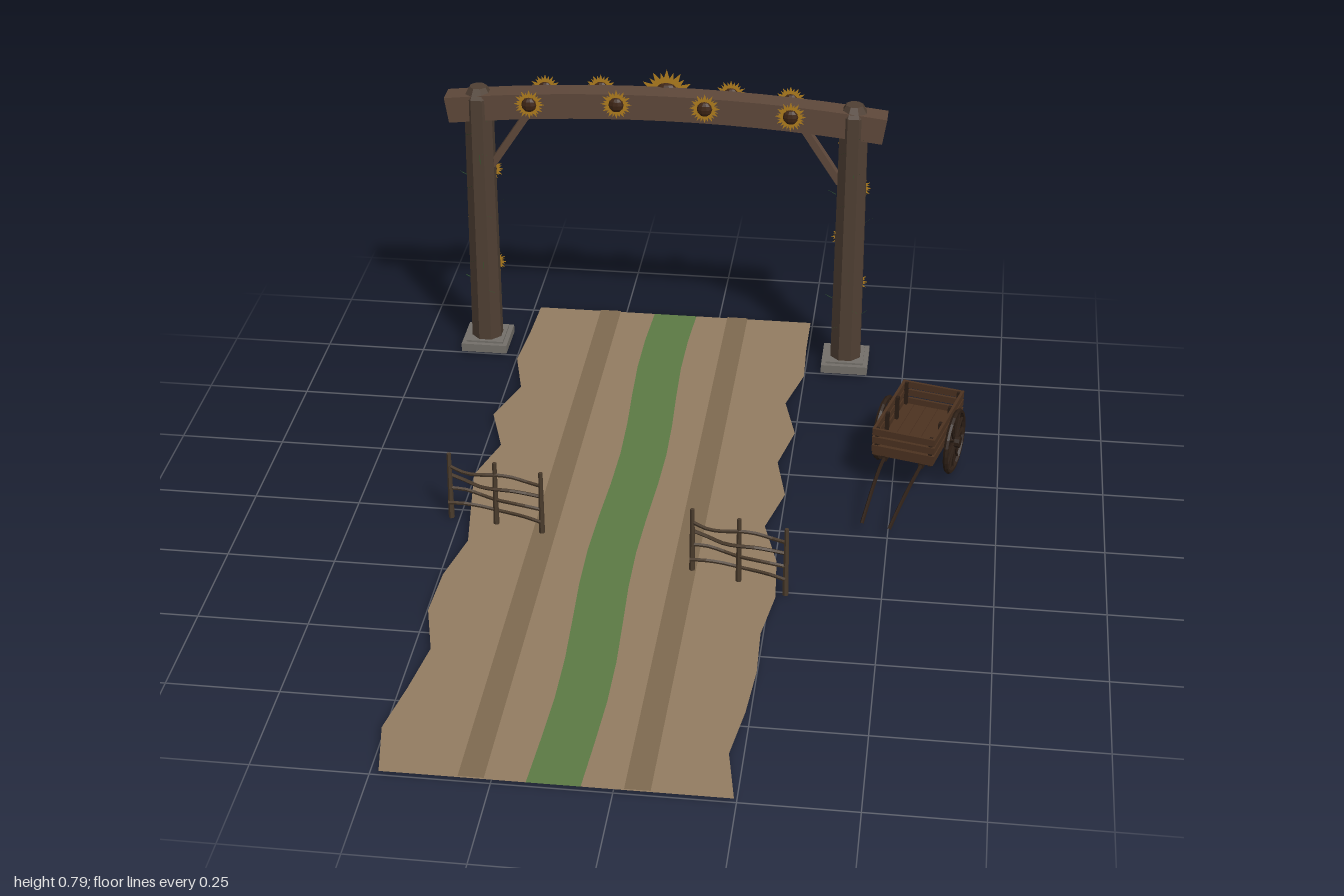
import * as THREE from 'three';

const mat = (color, side = THREE.FrontSide) =>
  new THREE.MeshStandardMaterial({ color, side, flatShading: true });
const M = {
  road: mat(0x937d62, THREE.DoubleSide), rut: mat(0x7f6a50, THREE.DoubleSide),
  grass: mat(0x5c7a45, THREE.DoubleSide), beam: mat(0x5e483a), post: mat(0x4f3f33),
  stone: mat(0x74706a), petal: mat(0xb07d1e, THREE.DoubleSide), seed: mat(0x3f2616),
  leaf: mat(0x35602f, THREE.DoubleSide), fence: mat(0x4a3b2c), cart: mat(0x4c3220), dark: mat(0x2c1e15),
};
const V = (x, y, z) => new THREE.Vector3(x, y, z);
const ROAD_Y = 0.01, MID = -0.118, ARCH_Z = -0.797;

function add(parent, name, geo, material, x = 0, y = 0, z = 0) {
  const m = new THREE.Mesh(geo, material);
  m.name = name;
  m.position.set(x, y, z);
  parent.add(m);
  return m;
}
function group(parent, name, x = 0, y = 0, z = 0) {
  const g = new THREE.Group();
  g.name = name;
  g.position.set(x, y, z);
  parent.add(g);
  return g;
}
const box = (parent, name, w, h, d, material, x, y, z) =>
  add(parent, name, new THREE.BoxGeometry(w, h, d), material, x, y, z);
const tube = (parent, name, pts, r, material, segs = 8, sides = 6) =>
  add(parent, name, new THREE.TubeGeometry(new THREE.CatmullRomCurve3(pts), segs, r, sides), material);

// Flat strip along z between two edges given row by row
function strip(parent, name, left, right, y, material) {
  const geo = new THREE.PlaneGeometry(1, 1, 1, 14);
  const p = geo.attributes.position;
  for (let i = 0; i < p.count; i++) {
    const row = Math.floor(i / 2);
    p.setXYZ(i, (i % 2 ? right : left)(row), y, -1 + row / 7);
  }
  geo.computeVertexNormals();
  add(parent, name, geo, material);
}

function buildRoad(root) {
  const road = group(root, 'road');
  const L = [-.48, -.485, -.495, -.46, -.505, -.46, -.5, -.48, -.46, -.49, -.495, -.46, -.48, -.505, -.48];
  const R = [.245, .245, .25, .215, .25, .22, .25, .215, .255, .265, .245, .25, .24, .22, .245];
  const sway = (i) => -0.115 - 0.008 * Math.sin(i * 0.95);
  const gl = (i) => sway(i) - 0.057, gr = (i) => sway(i) + 0.055;
  strip(road, 'leftTrack', (i) => L[i], gl, ROAD_Y, M.road);
  strip(road, 'rightTrack', gr, (i) => R[i], ROAD_Y, M.road);
  strip(road, 'grassStrip', gl, gr, ROAD_Y, M.grass);
  for (const x of [-0.29, 0.05])
    strip(road, 'wheelRut', () => x - 0.027, () => x + 0.027, ROAD_Y + 0.003, M.rut);
}

// Sunflower facing +z (dir 1) or -z (dir -1)
function flower(parent, x, y, z, r, dir) {
  const g = group(parent, 'sunflower', x, y, z);
  if (dir < 0) g.rotation.y = Math.PI;
  for (const [k, size] of [[0, 1], [1, 0.88]]) {
    const s = new THREE.Shape();
    for (let i = 0; i < 24; i++) {
      const a = (i + k) * Math.PI / 12, q = r * size * (i % 2 ? 0.55 : 1);
      s[i ? 'lineTo' : 'moveTo'](q * Math.sin(a), q * Math.cos(a));
    }
    add(g, 'petals', new THREE.ShapeGeometry(s), M.petal, 0, 0, 0.002 + k * 0.003);
  }
  const seed = add(g, 'seedHead', new THREE.SphereGeometry(r * 0.5, 10, 6), M.seed, 0, 0, 0.004);
  seed.scale.z = 0.6;
}

function leaf(parent, x, y, z, turn, tilt, size = 0.03) {
  const s = new THREE.Shape();
  s.moveTo(0, 0);
  s.quadraticCurveTo(size * 0.5, size * 0.35, size, 0);
  s.quadraticCurveTo(size * 0.5, -size * 0.35, 0, 0);
  const m = add(parent, 'leaf', new THREE.ShapeGeometry(s, 3), M.leaf, x, y, z);
  m.rotation.set(tilt, turn, 0);
}

function buildArch(root) {
  const arch = group(root, 'archway', MID, 0, ARCH_Z);
  const rise = (x) => 0.678 + 0.034 * (1 - (x / 0.545) ** 2);

  // Bowed crossbeam
  const geo = new THREE.BoxGeometry(1.09, 0.066, 0.058, 14, 1, 1);
  const p = geo.attributes.position;
  for (let i = 0; i < p.count; i++) {
    const x = p.getX(i), y = p.getY(i);
    p.setXY(i, x + y * 0.16 * x / 0.545, y + rise(x));
  }
  add(arch, 'crossbeam', geo, M.beam);

  for (const s of [-1, 1]) {
    const post = group(arch, 'gatePost', s * 0.468);
    box(post, 'plinth', 0.118, 0.022, 0.118, M.stone, 0, 0.021, 0);
    box(post, 'plinthStep', 0.095, 0.006, 0.095, M.stone, 0, 0.034, 0);
    const shaft = new THREE.CylinderGeometry(0.037, 0.041, 0.68, 8).rotateY(Math.PI / 8);
    add(post, 'shaft', shaft, M.post, 0, 0.37, 0);
    const cap = new THREE.CylinderGeometry(0.022, 0.037, 0.026, 8).rotateY(Math.PI / 8);
    add(post, 'cap', cap, M.post, 0, 0.723, 0);

    // Diagonal brace
    const brace = box(arch, 'brace', 0.018, 0.165, 0.026, M.beam, s * 0.393, 0.595, 0);
    brace.rotation.z = s * 0.58;

    // Vine with leaves, and flowers on the back
    const vine = [];
    for (let i = 0; i <= 16; i++) {
      const a = i * 0.5;
      vine.push(V(0.014 * Math.sin(a), 0.05 + i * 0.039, -0.041));
    }
    tube(post, 'vine', vine, 0.003, M.leaf, 32, 4);
    [[0.225, 0.016], [0.35, -0.018], [0.49, 0.016], [0.61, -0.01]].forEach(([y, x]) =>
      flower(post, x, y, -0.043, 0.032, -1));
    [0.14, 0.185, 0.27, 0.4, 0.48, 0.57, 0.625, 0.665].forEach((y, i) => {
      const a = i * 2.1 + 0.6;
      leaf(post, 0.036 * Math.cos(a), y, -0.036 * Math.sin(a), a, 1.2);
      leaf(post, (i % 2 ? 1 : -1) * 0.01, y, 0.041, i % 2 ? -0.3 : Math.PI + 0.3, 1.1, 0.026);
    });
  }

  // Flowers and leaves along the beam
  [-0.335, -0.117, 0.102, 0.314].forEach((x) => flower(arch, x, rise(x) + 0.009, 0.032, 0.039, 1));
  [-0.305, -0.165, 0, 0.16, 0.308].forEach((x) =>
    flower(arch, x, rise(x) + (x ? 0.02 : 0.008), -0.032, x ? 0.04 : 0.07, -1));
  for (let i = 0; i < 15; i++) {
    const x = -0.25 + i * 0.036;
    leaf(arch, x, rise(x) - 0.034, i % 2 ? 0.02 : -0.03, i % 2 ? 0.4 : 2.7, 0.8);
  }
}

// Rustic fence panel between two ground points
function buildFence(root, x0, z0, x1, z1) {
  const len = Math.hypot(x1 - x0, z1 - z0);
  const f = group(root, 'fence', (x0 + x1) / 2, 0, (z0 + z1) / 2);
  f.rotation.y = -Math.atan2(z1 - z0, x1 - x0);
  for (const k of [-1, 0, 1])
    add(f, 'fencePost', new THREE.CylinderGeometry(0.005, 0.007, 0.175, 6), M.fence, k * len / 2, 0.0875, 0);
  [0.045, 0.078, 0.108, 0.14].forEach((y, j) => {
    const pts = [];
    for (let i = 0; i <= 6; i++)
      pts.push(V((i / 6 - 0.5) * len * 1.02, y + 0.004 * Math.sin(i * 1.5 + j), 0.009 * Math.cos(i * 1.05 + j * 1.5)));
    tube(f, 'rail', pts, 0.0045, M.fence, 12, 5);
  });
}

function buildCart(root) {
  const cart = group(root, 'handCart', 0.553, 0, -0.316);
  cart.rotation.y = -0.253;

  // Bed with slatted sides
  for (let i = 0; i < 5; i++)
    box(cart, 'floorBoard', 0.029, 0.01, 0.25, M.cart, (i - 2) * 0.03, 0.1, 0);
  for (const y of [0.112, 0.135, 0.157]) {
    for (const s of [-1, 1]) {
      box(cart, 'sideSlat', 0.007, 0.017, 0.25, M.cart, s * 0.073, y, 0);
      box(cart, 'endSlat', 0.15, 0.017, 0.007, M.cart, 0, y, s * 0.122);
    }
  }
  for (const s of [-1, 1]) {
    for (const z of [-0.117, -0.04, 0.04, 0.117])
      box(cart, 'stake', 0.009, 0.074, 0.011, M.dark, s * 0.066, 0.128, z);
    box(cart, 'underBeam', 0.012, 0.014, 0.25, M.dark, s * 0.045, 0.089, 0);

    // Pulling shaft
    tube(cart, 'shaft', [V(s * 0.045, 0.09, 0.08), V(s * 0.045, 0.087, 0.14), V(s * 0.041, 0.072, 0.21),
      V(s * 0.036, 0.048, 0.28), V(s * 0.033, 0.03, 0.327)], 0.0045, M.dark, 12);

    // Spoked wheel
    const wheel = group(cart, 'wheel', s * 0.088, 0.09, -0.012);
    wheel.rotation.y = Math.PI / 2;
    add(wheel, 'rim', new THREE.TorusGeometry(0.074, 0.0065, 6, 24), M.dark);
    add(wheel, 'hub', new THREE.CylinderGeometry(0.014, 0.014, 0.03, 10).rotateX(Math.PI / 2), M.dark);
    for (let i = 0; i < 12; i++) {
      const a = i * Math.PI / 6;
      const spoke = add(wheel, 'spoke', new THREE.CylinderGeometry(0.003, 0.004, 0.062, 5), M.dark,
        -0.042 * Math.sin(a), 0.042 * Math.cos(a), 0);
      spoke.rotation.z = a;
    }
  }
  add(cart, 'axle', new THREE.CylinderGeometry(0.007, 0.007, 0.19, 8).rotateZ(Math.PI / 2), M.dark, 0, 0.09, -0.012);
}

export function createModel() {
  const root = new THREE.Group();
  root.name = 'countryRoad';
  buildRoad(root);
  buildArch(root);
  buildFence(root, -0.52, 0.033, -0.295, 0.092);
  buildFence(root, 0.068, 0.202, 0.285, 0.258);
  buildCart(root);
  return root;
}
